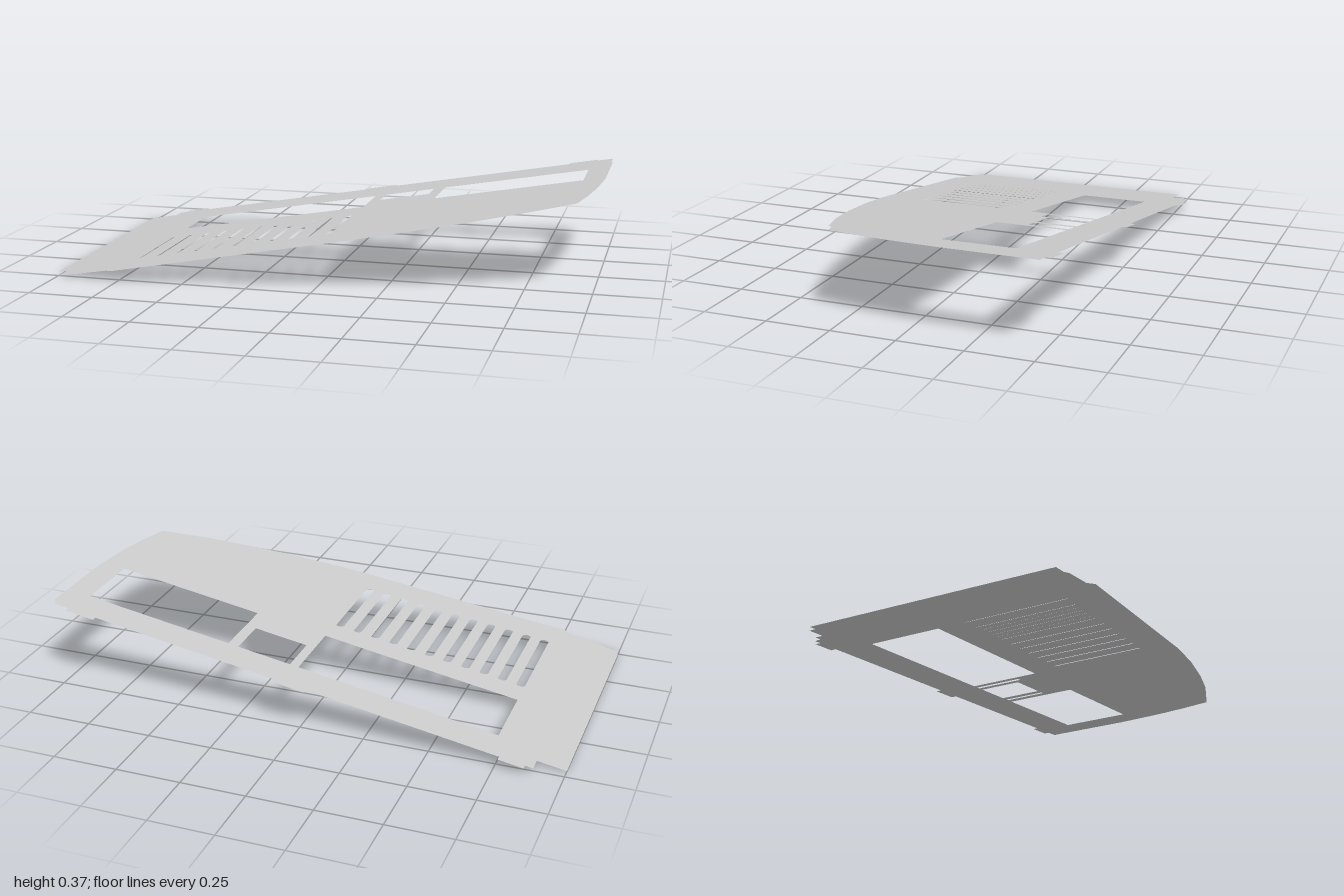
import * as THREE from 'three';

const SLOPE = 0.176; // rise of the panel per unit of x
const GAP = 0.0145; // height between the two skins

// Points are given as x, z; the shape is drawn in x, -z
const toPoints = (list) => list.map(([x, z]) => new THREE.Vector2(x, -z));

function rectHole(x0, x1, z0, z1) {
  return new THREE.Path(toPoints([[x0, z0], [x0, z1], [x1, z1], [x1, z0]]));
}

// Slot with rounded ends, running along z
function slotHole(x, z0, z1, r) {
  const path = new THREE.Path();
  path.absarc(x, -z0 - r, r, 0, Math.PI, false);
  path.absarc(x, -z1 + r, r, Math.PI, Math.PI * 2, false);
  path.closePath();
  return path;
}

function panelShape() {
  // Back edge with three small tabs, then the curved right and front edges
  const outline = [[-1, -0.46], [-0.89, -0.46], [-0.89, -0.515]];
  for (const [a, b] of [[-0.86, -0.765], [-0.03, 0.09], [0.825, 0.94]]) {
    outline.push([a, -0.515], [a, -0.535], [b, -0.535], [b, -0.515]);
  }
  outline.push(
    [1, -0.515], [1, -0.17], [0.993, -0.08], [0.983, 0.03], [0.963, 0.15], [0.935, 0.275],
    [0.74, 0.345], [0.55, 0.395], [0.33, 0.44], [0.12, 0.47],
    [-0.77, 0.53], [-0.8, 0.51], [-0.92, 0.507], [-0.945, 0.497], [-1, 0.497],
  );
  const shape = new THREE.Shape(toPoints(outline));

  // Three windows
  shape.holes.push(
    rectHole(-0.733, 0.05, -0.405, -0.102),
    rectHole(0.075, 0.295, -0.405, -0.215),
    rectHole(0.325, 0.92, -0.405, -0.102),
  );

  // Row of vent slots, getting shorter to the right
  for (let i = 0; i < 11; i++) {
    shape.holes.push(slotHole(-0.714 + i * 0.0739, -0.023, 0.42 - i * 0.0045, 0.019));
  }
  return shape;
}

// One thin skin, laid flat and then sloped along x
function skin(name, shape, lift, faceDown) {
  const geometry = new THREE.ShapeGeometry(shape, 8);
  geometry.rotateX(-Math.PI / 2);
  const pos = geometry.attributes.position;
  for (let i = 0; i < pos.count; i++) {
    pos.setY(i, (pos.getX(i) + 1) * SLOPE + lift);
  }
  if (faceDown) {
    const index = geometry.index.array;
    for (let i = 0; i < index.length; i += 3) {
      [index[i], index[i + 1]] = [index[i + 1], index[i]];
    }
  }
  geometry.computeVertexNormals();
  const mesh = new THREE.Mesh(
    geometry,
    new THREE.MeshStandardMaterial({ color: 0xcccccc, side: THREE.DoubleSide }),
  );
  mesh.name = name;
  return mesh;
}

export function createModel() {
  const group = new THREE.Group();
  group.name = 'ventedPanel';
  const shape = panelShape();
  group.add(skin('upperSkin', shape, GAP, false));
  group.add(skin('lowerSkin', shape, 0, true));
  return group;
}
